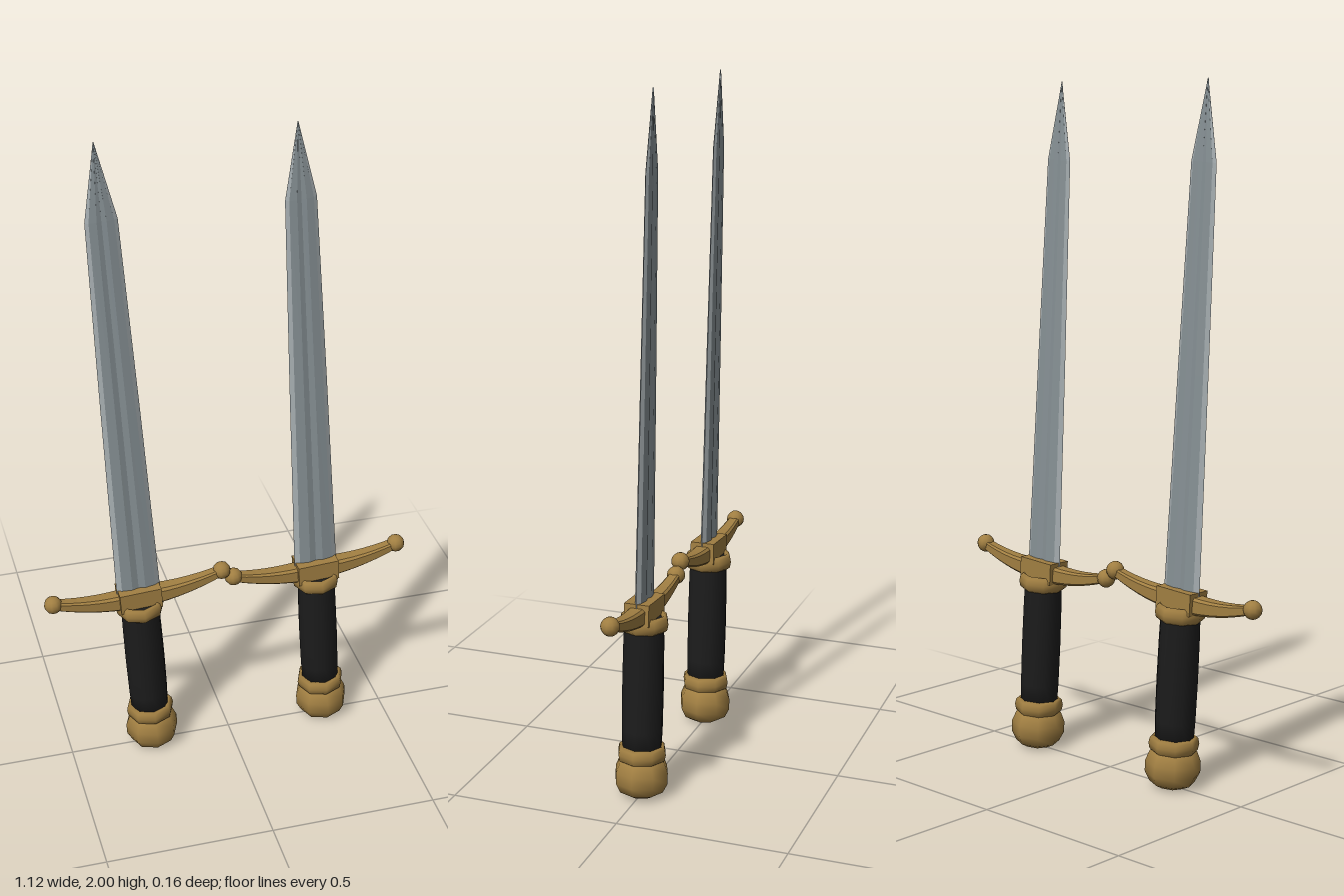
import * as THREE from 'three';

const gold = new THREE.MeshStandardMaterial({ name: 'gold', color: 0xa17f42 });
const steel = new THREE.MeshStandardMaterial({ name: 'steel', color: 0x899397 });
const edgeSteel = new THREE.MeshStandardMaterial({ name: 'sharpened edge steel', color: 0xa9b1b4 });
const leather = new THREE.MeshStandardMaterial({ name: 'black leather', color: 0x1c1c1c });

function part(parent, name, geometry, material, x = 0, y = 0, z = 0) {
  const mesh = new THREE.Mesh(geometry, material);
  mesh.name = name;
  mesh.position.set(x, y, z);
  parent.add(mesh);
  return mesh;
}

function lathe(points, sides) {
  return new THREE.LatheGeometry(points.map(([r, y]) => new THREE.Vector2(r, y)), sides);
}

// Blade strips lofted through a few sections; strips are indices into the outline
function bladeGeometry(strips) {
  const sections = [ // height, half width, half thickness
    [0.57, 0.066, 0.014], [1.2, 0.056, 0.011], [1.78, 0.045, 0.008], [2.003, 0.0008, 0.0015],
  ];
  const outline = [ // fractions of half width and half thickness, from +x round by +z
    [1, 0], [0.77, 0.65], [0.3, 1], [0, 0.6], [-0.3, 1], [-0.77, 0.65],
    [-1, 0], [-0.77, -0.65], [-0.3, -1], [0, -0.6], [0.3, -1], [0.77, -0.65],
  ];
  const corner = (s, j) => {
    const [y, w, t] = sections[s];
    const [u, v] = outline[j % outline.length];
    return [u * w, y, v * t];
  };
  const positions = [];
  for (let s = 0; s < sections.length - 1; s++) {
    for (const j of strips) {
      const a = corner(s, j), b = corner(s, j + 1);
      const c = corner(s + 1, j + 1), d = corner(s + 1, j);
      positions.push(...a, ...d, ...c, ...a, ...c, ...b);
    }
  }
  const geometry = new THREE.BufferGeometry();
  geometry.setAttribute('position', new THREE.Float32BufferAttribute(positions, 3));
  geometry.computeVertexNormals();
  return geometry;
}

// Guard arm: chamfered bar along +x, tapering and curving upwards
function armGeometry() {
  const length = 0.205;
  let geometry = new THREE.CylinderGeometry(1, 1, length, 8, 6);
  geometry.rotateY(Math.PI / 8);
  geometry.rotateZ(-Math.PI / 2);
  geometry.translate(length / 2, 0, 0);
  const square = (v) => (Math.abs(v) < 0.1 ? 0 : Math.sign(v) * (Math.abs(v) > 0.6 ? 1 : 0.7));
  const p = geometry.attributes.position;
  for (let i = 0; i < p.count; i++) {
    const t = p.getX(i) / length;
    p.setXYZ(i, 0.05 + p.getX(i),
      0.551 + 0.032 * t * t + square(p.getY(i)) * (0.026 - 0.013 * t),
      square(p.getZ(i)) * (0.026 - 0.01 * t));
  }
  geometry = geometry.toNonIndexed();
  geometry.computeVertexNormals();
  return geometry;
}

function createSword(name) {
  const sword = new THREE.Group();
  sword.name = name;

  part(sword, 'pommel', lathe([
    [0, 0], [0.042, 0.001], [0.066, 0.014], [0.08, 0.042], [0.08, 0.075],
    [0.068, 0.105], [0.045, 0.122], [0, 0.125],
  ], 8), gold);

  part(sword, 'grip', lathe([
    [0, 0.12], [0.056, 0.12], [0.059, 0.2], [0.06, 0.32], [0.059, 0.44],
    [0.057, 0.534], [0.057, 0.534], [0, 0.534],
  ], 12), leather);

  // Tall rounded rings around both ends of the grip
  for (const [label, y] of [['lowerCollar', 0.128], ['upperCollar', 0.519]]) {
    const ring = new THREE.TorusGeometry(0.061, 0.012, 8, 8);
    ring.rotateX(Math.PI / 2);
    ring.scale(1, 2, 1);
    part(sword, label, ring, gold, 0, y, 0);
  }

  // Crossguard
  part(sword, 'guardBlock', new THREE.BoxGeometry(0.126, 0.064, 0.074), gold, 0, 0.556, 0);
  const arm = armGeometry();
  for (const side of [1, -1]) {
    const label = side > 0 ? 'left' : 'right';
    const mesh = part(sword, label + 'GuardArm', arm, gold);
    if (side < 0) mesh.rotation.y = Math.PI;
    part(sword, label + 'GuardBall', new THREE.SphereGeometry(0.027, 10, 8), gold, side * 0.257, 0.584, 0);
  }

  part(sword, 'bladeFaces', bladeGeometry([1, 2, 3, 4, 7, 8, 9, 10]), steel);
  part(sword, 'bladeEdges', bladeGeometry([0, 5, 6, 11]), edgeSteel);
  return sword;
}

export function createModel() {
  const model = new THREE.Group();
  model.name = 'pairOfSwords';
  for (const [name, x] of [['rightSword', -0.243], ['leftSword', 0.307]]) {
    const sword = createSword(name);
    sword.position.set(x, 0.002, 0);
    sword.rotation.z = 0.0585;
    model.add(sword);
  }
  return model;
}
